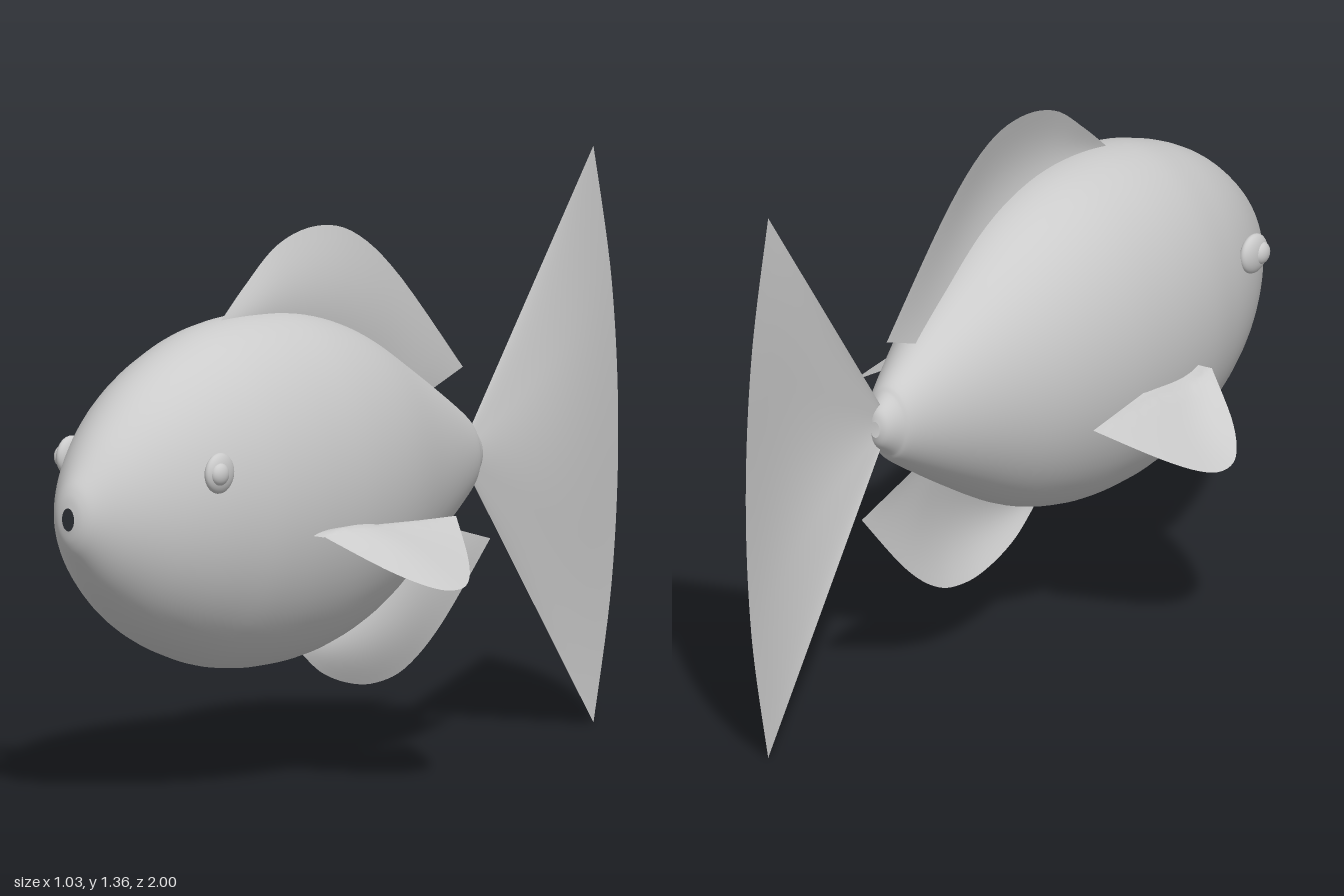
import * as THREE from 'three';

const skin = new THREE.MeshStandardMaterial({ color: 0xcccccc });
const membrane = new THREE.MeshStandardMaterial({ color: 0xcccccc, side: THREE.DoubleSide });

const spline = (pts) => new THREE.SplineCurve(pts.map(([a, b]) => new THREE.Vector2(a, b)));

// A thin fin stretched between a root curve and an outer curve.
// place(a, b, bulge) turns fin coordinates into a 3D point; bulge is 0 on the rim, 1 in the middle.
function makeFin(name, outerPts, rootPts, place) {
  const outer = spline(outerPts), root = spline(rootPts);
  const nu = 32, nv = 12, pos = [], index = [];
  for (let i = 0; i <= nu; i++) {
    const u = i / nu, o = outer.getPoint(u), r = root.getPoint(u);
    for (let j = 0; j <= nv; j++) {
      const v = j / nv, p = r.clone().lerp(o, v);
      pos.push(...place(p.x, p.y, Math.sin(Math.PI * u) * Math.sin(Math.PI * v)));
      if (i < nu && j < nv) {
        const a = i * (nv + 1) + j, b = a + nv + 1;
        index.push(a, b, a + 1, b, b + 1, a + 1);
      }
    }
  }
  const geo = new THREE.BufferGeometry();
  geo.setAttribute('position', new THREE.Float32BufferAttribute(pos, 3));
  geo.setIndex(index);
  geo.computeVertexNormals();
  const mesh = new THREE.Mesh(geo, membrane);
  mesh.name = name;
  return mesh;
}

// Flattened ball used for the eyes
function makeDisc(name, radius, depth, x, y, z) {
  const mesh = new THREE.Mesh(new THREE.SphereGeometry(radius, 28, 18), skin);
  mesh.scale.x = depth / radius;
  mesh.position.set(x, y, z);
  mesh.name = name;
  return mesh;
}

export function createModel() {
  const fish = new THREE.Group();
  fish.name = 'fish';

  // Body: lathed profile (radius, z), narrowed sideways, open at the mouth
  const profile = spline([
    [0.02, -0.482], [0.045, -0.472], [0.075, -0.44], [0.112, -0.4], [0.235, -0.2], [0.345, 0],
    [0.401, 0.18], [0.415, 0.35], [0.401, 0.5], [0.366, 0.62], [0.322, 0.72],
    [0.265, 0.81], [0.185, 0.9], [0.1, 0.97], [0.06, 0.993], [0.027, 1],
  ]);
  const bodyGeo = new THREE.LatheGeometry(profile.getPoints(80), 64);
  bodyGeo.rotateX(Math.PI / 2);
  bodyGeo.scale(0.675, 1, 1);
  bodyGeo.translate(0, 0.685, 0);
  const body = new THREE.Mesh(bodyGeo, skin);
  body.name = 'body';
  fish.add(body);

  // Upright fins, given as (z, y) and bulging towards +x
  const upright = (z, y, bulge) => [0.035 * bulge, y, z];
  fish.add(
    makeFin('tailFin',
      [[-0.91, 1.36], [-0.977, 1.03], [-1, 0.68], [-0.977, 0.33], [-0.91, 0]],
      [[-0.42, 0.685], [-0.42, 0.685]], upright),
    makeFin('dorsalFin',
      [[0.46, 1.08], [0.36, 1.165], [0.24, 1.25], [0.1, 1.28], [-0.04, 1.25], [-0.2, 1.135], [-0.435, 0.89]],
      [[0.44, 1.05], [-0.2, 0.805]], upright),
    makeFin('bottomFin',
      [[0.16, 0.285], [0.08, 0.226], [-0.02, 0.19], [-0.12, 0.18], [-0.23, 0.205], [-0.36, 0.295], [-0.535, 0.475]],
      [[0.14, 0.33], [-0.23, 0.56]], upright),
  );

  // Side fins, given as (distance from the middle, z), sloping down and outwards
  for (const [side, label] of [[1, 'left'], [-1, 'right']]) {
    const sloped = (x, z, bulge) =>
      [side * x, Math.min(0.61, 0.61 - 0.634 * (x - 0.31)) + side * 0.025 * bulge, z];
    fish.add(makeFin(label + 'SideFin',
      [[0.31, 0.435], [0.43, 0.35], [0.498, 0.27], [0.515, 0.2], [0.495, 0.135], [0.43, 0.06], [0.31, -0.04]],
      [[0.22, 0.43], [0.26, 0.28]], sloped));

    const eye = new THREE.Group();
    eye.name = label + 'Eye';
    eye.add(
      makeDisc('eyeball', 0.048, 0.021, side * 0.226, 0.785, 0.72),
      makeDisc('pupil', 0.027, 0.018, side * 0.238, 0.785, 0.733),
    );
    fish.add(eye);
  }
  return fish;
}
